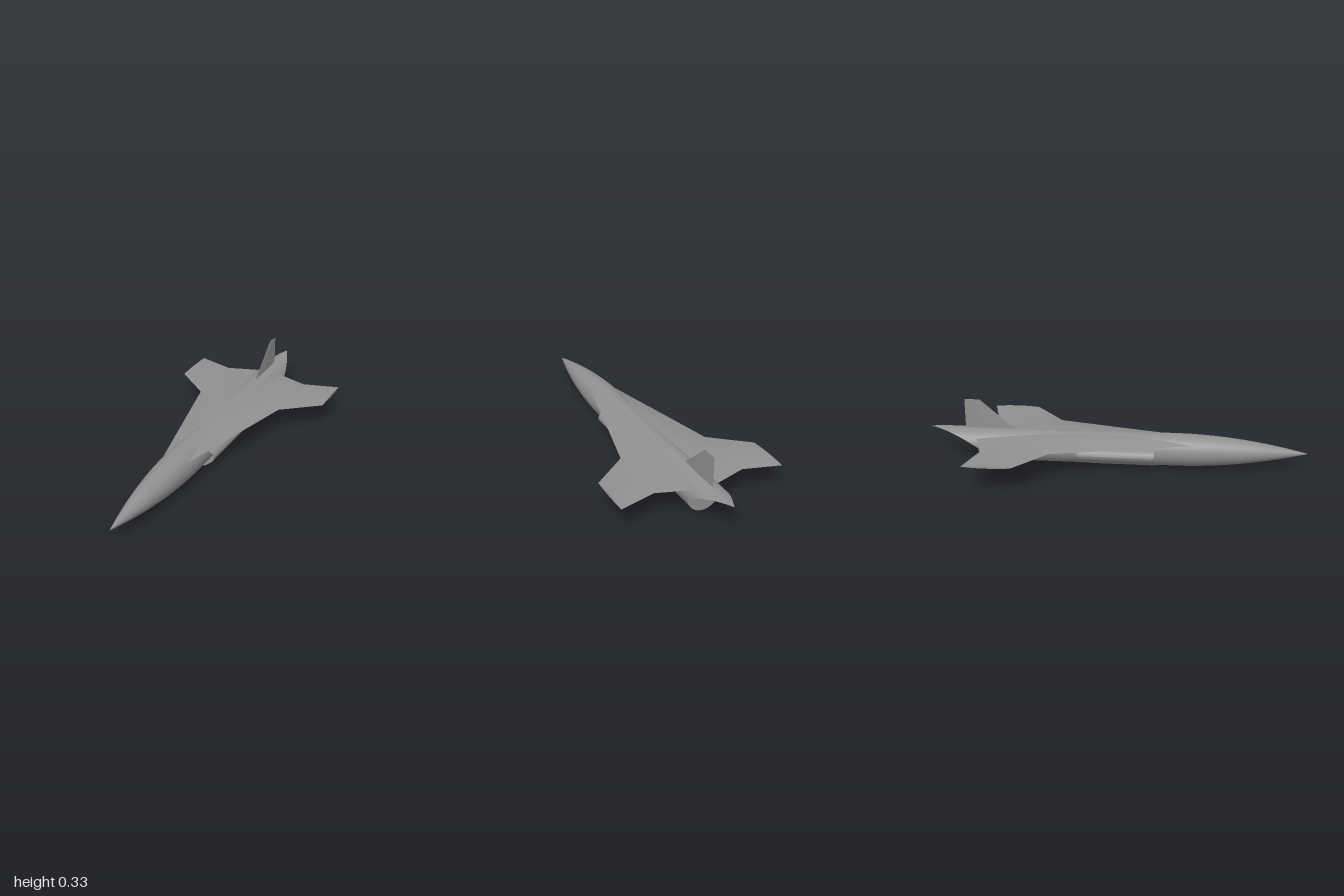
import * as THREE from 'three';
import { toCreasedNormals } from 'three/addons/utils/BufferGeometryUtils.js';

const R = 0.086, CY = 0.087; // fuselage radius and axis height
const V = (x, y, z) => new THREE.Vector3(x, y, z);

// Closed solid through equal-sized rings of points, wound outward
function loft(rings, crease = 0.6) {
  const n = rings[0].length, tris = [];
  for (let i = 0; i < rings.length - 1; i++) {
    const a = rings[i], b = rings[i + 1];
    for (let j = 0; j < n; j++) {
      const k = (j + 1) % n;
      tris.push([a[j], b[j], b[k]], [a[j], b[k], a[k]]);
    }
  }
  const cap = (ring, flip) => {
    const c = ring.reduce((s, p) => s.add(p), V(0, 0, 0)).divideScalar(n);
    ring.forEach((p, j) => {
      const q = ring[(j + 1) % n];
      tris.push(flip ? [c, q, p] : [c, p, q]);
    });
  };
  cap(rings[0], false);
  cap(rings[rings.length - 1], true);
  const volume = tris.reduce((s, [a, b, c]) => s + a.dot(V(0, 0, 0).crossVectors(b, c)), 0);
  const flat = [];
  for (const [a, b, c] of tris) {
    for (const p of volume > 0 ? [a, b, c] : [a, c, b]) flat.push(p.x, p.y, p.z);
  }
  const geo = new THREE.BufferGeometry();
  geo.setAttribute('position', new THREE.Float32BufferAttribute(flat, 3));
  return toCreasedNormals(geo, crease);
}

// Linear lookup in [x, value] pairs
function lookup(table, x) {
  let i = 0;
  while (i < table.length - 2 && x > table[i + 1][0]) i++;
  const [x0, v0] = table[i], [x1, v1] = table[i + 1];
  return v0 + (v1 - v0) * (x - x0) / (x1 - x0);
}

// Blended cranked wing, lens-shaped sections
const LEAD = [[0.02, 0.6], [0.24, -0.33], [0.434, -0.49]];
const TRAIL = [[0.02, -0.757], [0.24, -0.685], [0.434, -0.74]];
const THICK = [[0.02, 0.033], [0.05, 0.031], [0.08, 0.028], [0.11, 0.023],
  [0.15, 0.0155], [0.19, 0.011], [0.24, 0.0075], [0.3, 0.006], [0.434, 0.0055]];
function wingGeometry(side) {
  const stations = [0.02, 0.035, 0.05, 0.065, 0.08, 0.095, 0.11, 0.13, 0.15, 0.17, 0.19, 0.215, 0.24, 0.3, 0.37, 0.434];
  const n = 24;
  return loft(stations.map((x) => {
    const lead = lookup(LEAD, x), trail = lookup(TRAIL, x), t = lookup(THICK, x);
    const ring = [];
    for (let i = 0; i < 2 * n; i++) {
      const u = i <= n ? i / n : 2 - i / n;
      const h = 4 * u * (1 - u) * t * (i <= n ? 1 : -1);
      ring.push(V(side * x, 0.136 + h, lead + (trail - lead) * u));
    }
    return ring;
  }), 0.3);
}

// Side intake: hollow front, lower edge running into the body, rounded rear
function intakeGeometry(side) {
  const outline = new THREE.CatmullRomCurve3([
    V(0.06, 0.112, 0), V(0.09, 0.109, 0), V(0.11, 0.096, 0), V(0.119, 0.077, 0),
    V(0.109, 0.054, 0), V(0.084, 0.0315, 0), V(0.055, 0.0135, 0), V(0.03, 0.006, 0),
    V(0.02, 0.03, 0), V(0.04, 0.07, 0),
  ], true).getPoints(60).slice(0, -1);
  const ring = (scale, z) => outline.map((p) =>
    V(side * (0.07 + (p.x - 0.07) * scale), 0.07 + (p.y - 0.07) * scale, z));
  return loft([
    ring(0.88, -0.17), ring(0.93, 0.2), ring(1, 0.2), ring(0.98, -0.1), ring(0.94, -0.19),
    ring(0.86, -0.203), ring(0.7, -0.213), ring(0.4, -0.22), ring(0.05, -0.222),
  ]);
}

// Tail overhang: open half-tube shell cut away below by a concave curve
function tailGeometry() {
  const geo = new THREE.PlaneGeometry(1, 1, 32, 24);
  const pos = geo.attributes.position;
  for (let i = 0; i < pos.count; i++) {
    const t = 0.5 - pos.getY(i);
    const start = Math.asin(1 - (1 - t) ** 2);
    const angle = start + (Math.PI - 2 * start) * (0.5 - pos.getX(i));
    pos.setXYZ(i, R * Math.cos(angle), CY + R * Math.sin(angle), -0.73 - 0.27 * t);
  }
  // Tube normals point straight out from the axis
  const normal = geo.attributes.normal;
  for (let i = 0; i < pos.count; i++) {
    normal.setXYZ(i, pos.getX(i) / R, (pos.getY(i) - CY) / R, 0);
  }
  // Rows run rearward, so turn the faces outward
  geo.setIndex(Array.from(geo.index.array).reverse());
  return geo;
}

export function createModel() {
  const model = new THREE.Group();
  model.name = 'aircraft';
  const material = new THREE.MeshStandardMaterial({ color: 0x909090 });
  const shellMaterial = new THREE.MeshStandardMaterial({ color: 0x909090, side: THREE.DoubleSide });
  const add = (name, geometry, mat = material) => {
    const mesh = new THREE.Mesh(geometry, mat);
    mesh.name = name;
    model.add(mesh);
    return mesh;
  };

  // Tube body with a pointed curved nose
  const profile = [new THREE.Vector2(R, -0.73)];
  for (let i = 0; i <= 24; i++) {
    const t = i / 24;
    profile.push(new THREE.Vector2(R * (1 - t * t), 0.3 + 0.7 * t));
  }
  add('fuselage', new THREE.LatheGeometry(profile, 64).rotateX(Math.PI / 2)).position.y = CY;

  // Flat engine exhaust face
  add('exhaustFace', new THREE.CircleGeometry(R, 64).rotateY(Math.PI)).position.set(0, CY, -0.73);

  add('tailOverhang', tailGeometry(), shellMaterial);

  for (const [label, side] of [['left', 1], ['right', -1]]) {
    add(label + 'Wing', wingGeometry(side));
    add(label + 'Intake', intakeGeometry(side));
  }

  // Thin upright fin with sharp leading and trailing edges
  const finRing = (y, lead, trail) => {
    const mid = (lead + trail) / 2;
    return [V(0, y, lead), V(0.003, y, mid), V(0, y, trail), V(-0.003, y, mid)];
  };
  add('tailFin', loft([finRing(0.16, -0.535, -0.813), finRing(0.331, -0.73, -0.813)], 0.01));

  return model;
}
